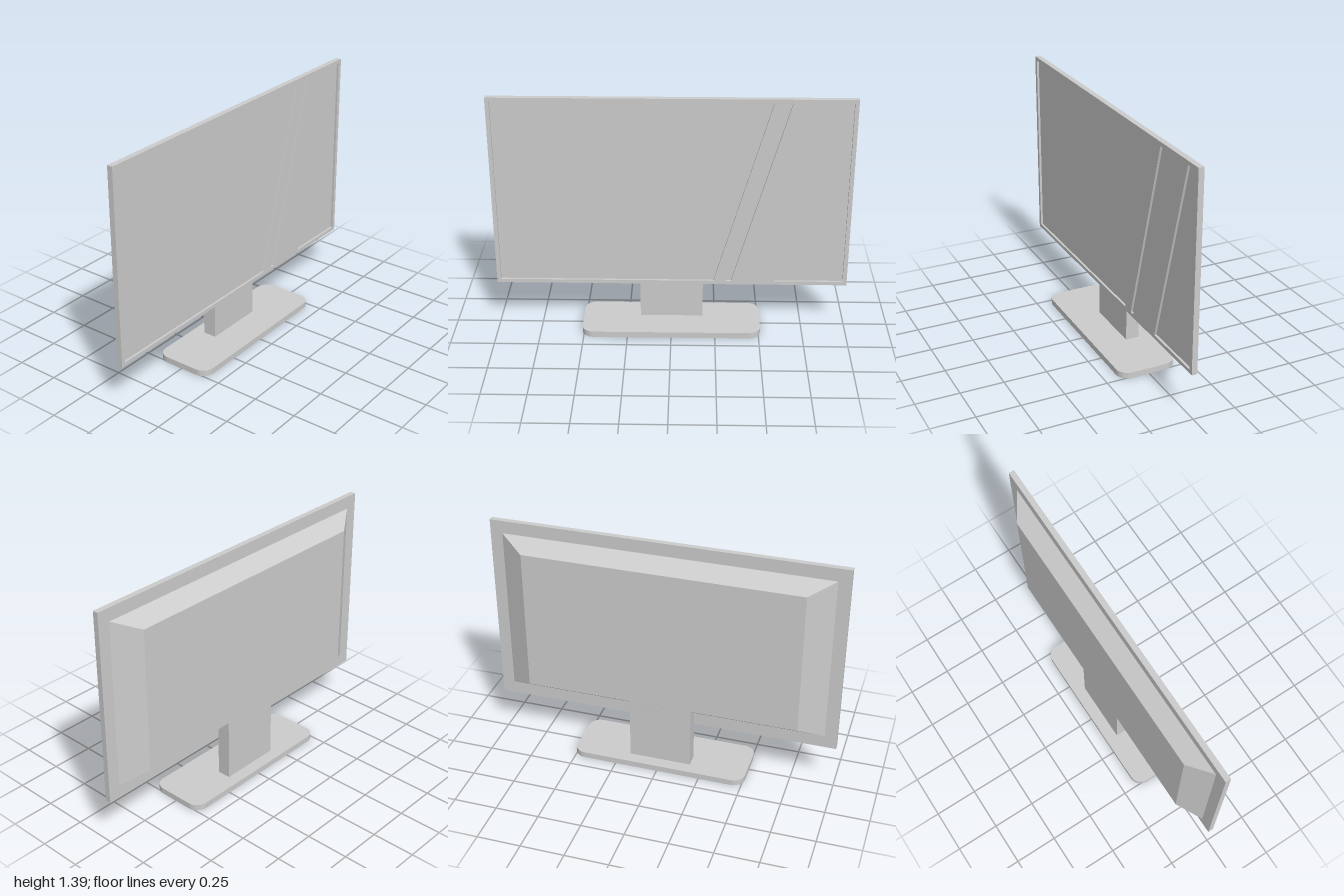
import * as THREE from 'three';

const grey = new THREE.MeshStandardMaterial({ color: 0xcccccc });
grey.name = 'plain grey';
grey.side = THREE.DoubleSide;

function rectPoints(x0, y0, x1, y1) {
  return [[x0, y0], [x1, y0], [x1, y1], [x0, y1]].map(([x, y]) => new THREE.Vector2(x, y));
}

// Flat-sided wall joining two matching counterclockwise loops at depths za < zb
function loft(a, za, b, zb) {
  const pos = [];
  a.forEach((p, i) => {
    const j = (i + 1) % a.length;
    const A = [p.x, p.y, za], B = [a[j].x, a[j].y, za];
    const C = [b[j].x, b[j].y, zb], D = [b[i].x, b[i].y, zb];
    pos.push(...A, ...B, ...C, ...A, ...C, ...D);
  });
  const g = new THREE.BufferGeometry();
  g.setAttribute('position', new THREE.Float32BufferAttribute(pos, 3));
  g.computeVertexNormals();
  return g;
}

function roundedRectPoints(hx, hy, r, steps) {
  const pts = [];
  [[1, -1], [1, 1], [-1, 1], [-1, -1]].forEach(([sx, sy], c) => {
    for (let i = 0; i <= steps; i++) {
      const t = (c - 1 + i / steps) * Math.PI / 2;
      pts.push(new THREE.Vector2(sx * (hx - r) + r * Math.cos(t), sy * (hy - r) + r * Math.sin(t)));
    }
  });
  return pts;
}

export function createModel() {
  const model = new THREE.Group();
  model.name = 'monitor';
  const add = (name, geometry, parent = model) => {
    const mesh = new THREE.Mesh(geometry, grey);
    mesh.name = name;
    parent.add(mesh);
    return mesh;
  };

  // Display panel: back slab with a raised bezel around the recessed screen
  const back = -0.015, screenZ = 0.004, front = 0.017;
  const y0 = 0.267, y1 = 1.393, in0 = 0.289, in1 = 1.371;
  add('screenPanel', new THREE.BoxGeometry(2, y1 - y0, screenZ - back))
    .position.set(0, (y0 + y1) / 2, (screenZ + back) / 2);
  const bezel = new THREE.Shape(rectPoints(-1, y0, 1, y1));
  bezel.holes.push(new THREE.Path(rectPoints(-0.977, in0, 0.977, in1)));
  const raise = { depth: front - screenZ, bevelEnabled: false };
  add('bezel', new THREE.ExtrudeGeometry(bezel, raise)).position.z = screenZ;

  // Slanted glare strips, flush with the bezel
  [[0.24, 0.31], [0.34, 0.59]].forEach(([a, b], i) => {
    const lean = 0.31;
    const strip = new THREE.Shape([
      new THREE.Vector2(a, in0), new THREE.Vector2(b, in0),
      new THREE.Vector2(b + lean, in1), new THREE.Vector2(a + lean, in1),
    ]);
    add('glareStrip' + (i + 1), new THREE.ExtrudeGeometry(strip, raise)).position.z = screenZ;
  });

  // Tapered rear housing
  const inner = rectPoints(-0.79, 0.41, 0.79, 1.25);
  const outer = rectPoints(-0.93, 0.342, 0.93, 1.318);
  add('housingSides', loft(inner, -0.105, outer, back));
  const cap = new THREE.ShapeGeometry(new THREE.Shape(inner));
  cap.rotateY(Math.PI);
  add('housingBack', cap).position.z = -0.105;

  // Stand: hollow foot open underneath, with a hollow neck rising into the housing
  const stand = new THREE.Group();
  stand.name = 'stand';
  stand.rotation.x = -Math.PI / 2;
  model.add(stand);
  const footTop = 0.035;
  const foot = roundedRectPoints(0.51, 0.17, 0.068, 8);
  const neck = rectPoints(-0.18, 0.021, 0.18, 0.1);
  const plate = new THREE.Shape(foot);
  plate.holes.push(new THREE.Path(neck));
  add('footRim', loft(foot, 0, foot, footTop), stand);
  add('footTop', new THREE.ShapeGeometry(plate), stand).position.z = footTop;
  add('neck', loft(neck, footTop, neck, 0.41), stand);

  return model;
}
